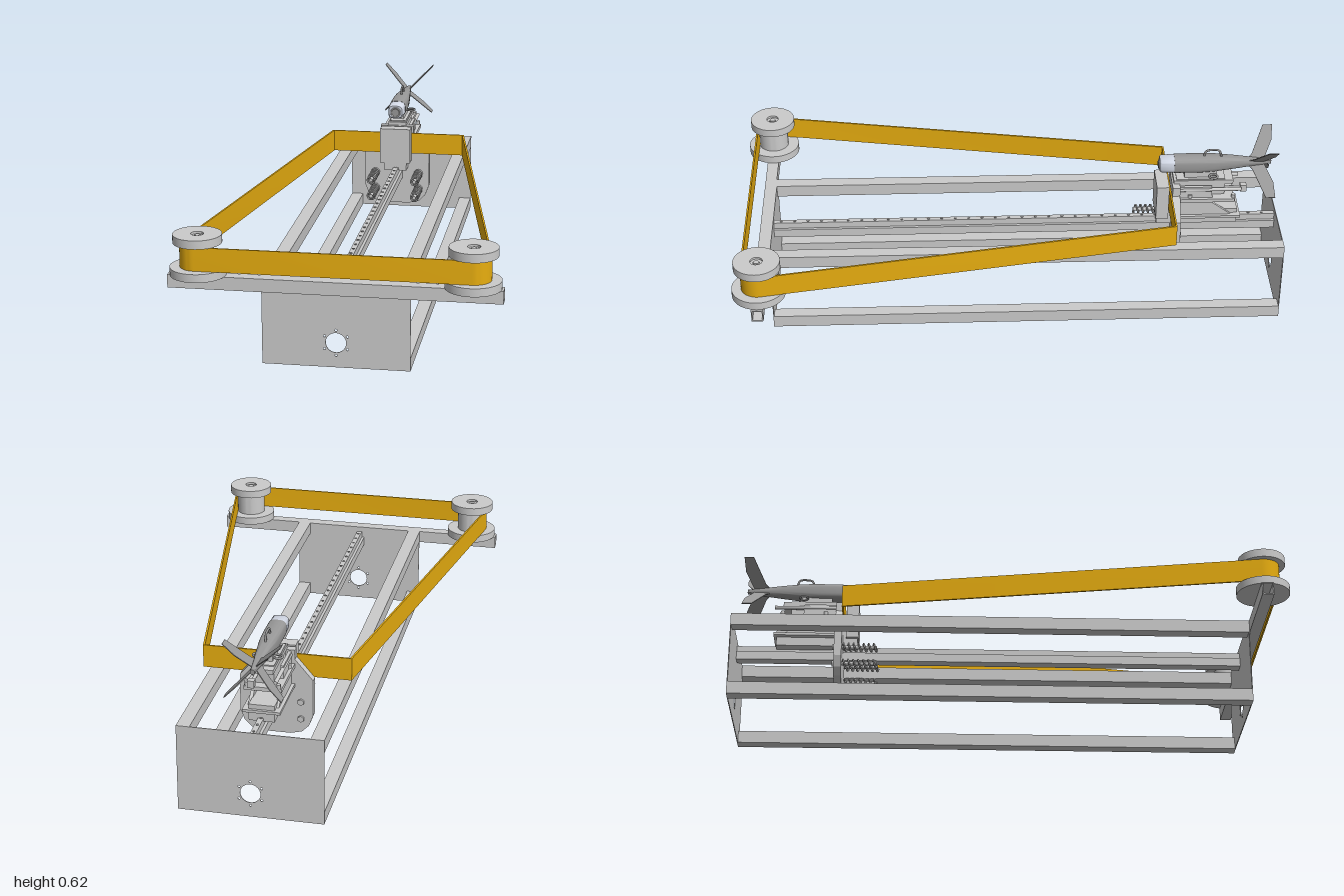
import * as THREE from 'three';
import { toCreasedNormals } from 'three/addons/utils/BufferGeometryUtils.js';

const mat = (color) => new THREE.MeshStandardMaterial({ color, side: THREE.DoubleSide });
const grey = mat(0xcccccc), gold = mat(0xe8ae10), dark = mat(0x999999), pale = mat(0xd5dbe8);

function add(parent, name, geo, material = grey) {
  const m = new THREE.Mesh(geo, material);
  m.name = name;
  parent.add(m);
  return m;
}
// box given by its limits on each axis
function box(parent, name, [x0, x1], [y0, y1], [z0, z1], material) {
  const g = new THREE.BoxGeometry(x1 - x0, y1 - y0, z1 - z0);
  g.translate((x0 + x1) / 2, (y0 + y1) / 2, (z0 + z1) / 2);
  return add(parent, name, g, material);
}
const poly = (pts) => new THREE.Shape(pts.map(([x, y]) => new THREE.Vector2(x, y)));
const circle = (x, y, r) => new THREE.Path().absarc(x, y, r, 0, Math.PI * 2, true);
const extrude = (shape, depth) => new THREE.ExtrudeGeometry(shape, { depth, bevelEnabled: false, curveSegments: 20 });
// cylinder lying along z
const rod = (r, len, x, y, z, n = 20) => new THREE.CylinderGeometry(r, r, len, n).rotateX(Math.PI / 2).translate(x, y, z);
// side profile of [z, y] points, thick along x
const sideProfile = (pts, x, w) => extrude(poly(pts), w).rotateY(-Math.PI / 2).translate(x + w / 2, 0, 0);

function frame() {
  const g = new THREE.Group();
  g.name = 'frame';
  for (const s of [-1, 1]) {
    const xs = s < 0 ? [-0.253, -0.206] : [0.206, 0.253];
    box(g, 'bottomRail', xs, [0, 0.046], [-0.997, 0.877]);
    box(g, 'topRail', xs, [0.27, 0.316], [-0.997, 0.877]);
  }
  // end plates with a round opening and six bolt holes
  for (const z of [-1, 0.877]) {
    const s = poly([[-0.253, 0], [0.253, 0], [0.253, 0.316], [-0.253, 0.316]]);
    s.holes.push(circle(0, 0.088, 0.035));
    for (let i = 0; i < 6; i++) {
      const a = Math.PI / 6 + i * Math.PI / 3;
      s.holes.push(circle(0.045 * Math.cos(a), 0.088 + 0.045 * Math.sin(a), 0.004));
    }
    add(g, 'endPlate', extrude(s, 0.003).translate(0, 0, z));
  }
  // hollow square crossbar
  const bar = poly([[0.88, 0.27], [0.922, 0.27], [0.922, 0.316], [0.88, 0.316]]);
  bar.holes.push(new THREE.Path(poly([[0.884, 0.274], [0.884, 0.312], [0.918, 0.312], [0.918, 0.274]]).getPoints()));
  add(g, 'crossbar', extrude(bar, 1.13).rotateY(-Math.PI / 2).translate(0.565, 0, 0));
  // centre beam with the guide rail and its screws
  box(g, 'centreBeam', [-0.022, 0.018], [0.24, 0.272], [-0.997, 0.877]);
  box(g, 'guideRail', [-0.012, 0.008], [0.272, 0.296], [-0.997, 0.877]);
  for (let z = -0.95; z < 0.87; z += 0.05)
    add(g, 'railScrew', new THREE.CylinderGeometry(0.005, 0.005, 0.003, 8).translate(-0.002, 0.297, z), dark);
  return g;
}

function spool(x) {
  const g = new THREE.Group();
  g.name = 'spool';
  g.position.set(x, 0, 0.9);
  const pts = [[0.012, 0.316], [0.095, 0.316], [0.095, 0.345], [0.055, 0.345], [0.055, 0.428], [0.083, 0.428],
    [0.083, 0.458], [0.022, 0.458], [0.022, 0.45], [0.012, 0.45], [0.012, 0.316]];
  const lathe = new THREE.LatheGeometry(pts.map(([r, y]) => new THREE.Vector2(r, y)), 48);
  add(g, 'spoolBody', toCreasedNormals(lathe, 0.6));
  add(g, 'spoolBolt', new THREE.CylinderGeometry(0.011, 0.011, 0.18, 6).translate(0, 0.364, 0));
  return g;
}

// flat band around both spools and the carriage
function band() {
  const outline = (d) => {
    const half = [[0.261 + d, -0.598 - d]];
    for (let i = 0; i <= 12; i++) {
      const a = -0.166 + (Math.PI / 2 + 0.166) * i / 12;
      half.push([0.463 + (0.058 + d) * Math.cos(a), 0.9 + (0.058 + d) * Math.sin(a)]);
    }
    return half.concat(half.map(([x, z]) => [-x, z]).reverse());
  };
  const s = poly(outline(0.003));
  s.holes.push(new THREE.Path(poly(outline(-0.003)).getPoints()));
  return extrude(s, 0.083).rotateX(Math.PI / 2).translate(0, 0.428, 0);
}

function carriage() {
  const g = new THREE.Group();
  g.name = 'carriage';
  g.position.x = -0.005;
  // upright plate reaching below the rails
  const right = [[0.05, 0.135], [0.09, 0.145], [0.115, 0.17], [0.13, 0.21], [0.13, 0.345], [0.066, 0.42], [0.066, 0.455]];
  const plate = poly(right.concat(right.map(([x, y]) => [-x, y]).reverse()));
  add(g, 'uprightPlate', extrude(plate, 0.028).translate(0, 0, -0.632));
  box(g, 'bandClamp', [-0.06, 0.06], [0.316, 0.455], [-0.592, -0.546]);
  box(g, 'slideBlock', [-0.045, 0.045], [0.285, 0.345], [-0.85, -0.55]);
  box(g, 'basePlate', [-0.066, 0.066], [0.318, 0.328], [-0.86, -0.63]);
  for (const s of [-1, 1]) {
    add(g, 'gusset', sideProfile([[-0.63, 0.32], [-0.63, 0.45], [-0.75, 0.45], [-0.755, 0.38], [-0.835, 0.32]], s * 0.048, 0.012));
    add(g, 'guideRod', rod(0.007, 0.24, s * 0.05, 0.437, -0.74));
    for (const z of [-0.67, -0.83])
      add(g, 'plateBolt', new THREE.CylinderGeometry(0.008, 0.008, 0.014, 6).translate(s * 0.055, 0.412, z));
    for (const y of [0.195, 0.26]) {
      // buffer spring around its pin
      const pts = [];
      for (let i = 0; i <= 84; i++) {
        const a = i * Math.PI / 6;
        pts.push(new THREE.Vector3(s * 0.087 + 0.015 * Math.cos(a), y + 0.015 * Math.sin(a), -0.604 + 0.13 * i / 84));
      }
      add(g, 'bufferSpring', new THREE.TubeGeometry(new THREE.CatmullRomCurve3(pts), 168, 0.0035, 5));
      add(g, 'springPin', rod(0.007, 0.13, s * 0.087, y, -0.54, 12));
      add(g, 'pinNut', rod(0.012, 0.01, s * 0.087, y, -0.635, 6));
    }
  }
  // launcher cradle
  box(g, 'cradlePlate', [-0.066, 0.066], [0.39, 0.404], [-0.835, -0.63]);
  box(g, 'cradleBlock', [-0.032, 0.032], [0.4, 0.472], [-0.8, -0.62]);
  box(g, 'cradleTop', [-0.036, 0.036], [0.452, 0.468], [-0.83, -0.61]);
  box(g, 'cradleSaddle', [-0.02, 0.02], [0.465, 0.5], [-0.77, -0.65]);
  add(g, 'releasePin', rod(0.006, 0.07, 0.03, 0.433, -0.835, 12));
  box(g, 'releaseKnob', [0.018, 0.042], [0.42, 0.446], [-0.88, -0.857]);
  return g;
}

// tapered rounded-square hull through [z, halfWidth, halfHeight, centreY] stations
function hull(stations) {
  const geo = new THREE.CylinderGeometry(1, 1, stations.length - 1, 32, stations.length - 1);
  const p = geo.attributes.position;
  for (let i = 0; i < p.count; i++) {
    const k = Math.round((stations.length - 1) / 2 - p.getY(i));
    const [z, w, h, cy] = stations[k];
    const c = p.getX(i), s = p.getZ(i);
    const round = (v) => Math.sign(v) * Math.pow(Math.abs(v), 0.6);
    p.setXYZ(i, w * round(c), cy - h * round(s), z);
  }
  return toCreasedNormals(geo, 0.7);
}

function flyer() {
  const g = new THREE.Group();
  g.name = 'flyer';
  g.position.x = -0.005;
  add(g, 'noseSection', hull([[-0.557, 0.026, 0.024, 0.523], [-0.563, 0.03, 0.028, 0.523], [-0.61, 0.031, 0.03, 0.523]]), pale);
  add(g, 'noseRing', new THREE.TorusGeometry(0.018, 0.003, 8, 24).translate(0, 0.521, -0.557));
  add(g, 'noseWindow', rod(0.015, 0.008, 0, 0.521, -0.556), dark);
  add(g, 'body', hull([[-0.61, 0.032, 0.031, 0.523], [-0.7, 0.032, 0.032, 0.523], [-0.76, 0.029, 0.03, 0.524],
    [-0.84, 0.021, 0.022, 0.525], [-0.91, 0.013, 0.014, 0.525], [-0.97, 0.007, 0.008, 0.525]]), dark);
  // four swept tail fins in a cross
  for (let i = 0; i < 4; i++) {
    const fin = extrude(poly([[0, -0.87], [0.03, -0.9], [0.138, -0.945], [0.138, -0.98], [0.08, -0.975], [0, -0.94]]), 0.003);
    fin.rotateX(Math.PI / 2).rotateZ(Math.PI / 4 + i * Math.PI / 2);
    add(g, 'tailFin', fin.translate(0, 0.525, 0), dark);
  }
  // carrying loop on top and side lugs
  const loop = [[0.55, -0.72], [0.573, -0.728], [0.578, -0.745], [0.575, -0.775], [0.55, -0.785]];
  const curve = new THREE.CatmullRomCurve3(loop.map(([y, z]) => new THREE.Vector3(0, y, z)));
  add(g, 'topLoop', new THREE.TubeGeometry(curve, 24, 0.004, 8), dark);
  for (const s of [-1, 1])
    add(g, 'sideLug', new THREE.TorusGeometry(0.015, 0.004, 8, 20).rotateX(Math.PI / 2).translate(s * 0.036, 0.485, -0.755), dark);
  return g;
}

export function createModel() {
  const model = new THREE.Group();
  model.name = 'bandLauncher';
  model.add(frame(), spool(-0.463), spool(0.463), carriage(), flyer());
  add(model, 'elasticBand', toCreasedNormals(band(), 0.5), gold);
  return model;
}
